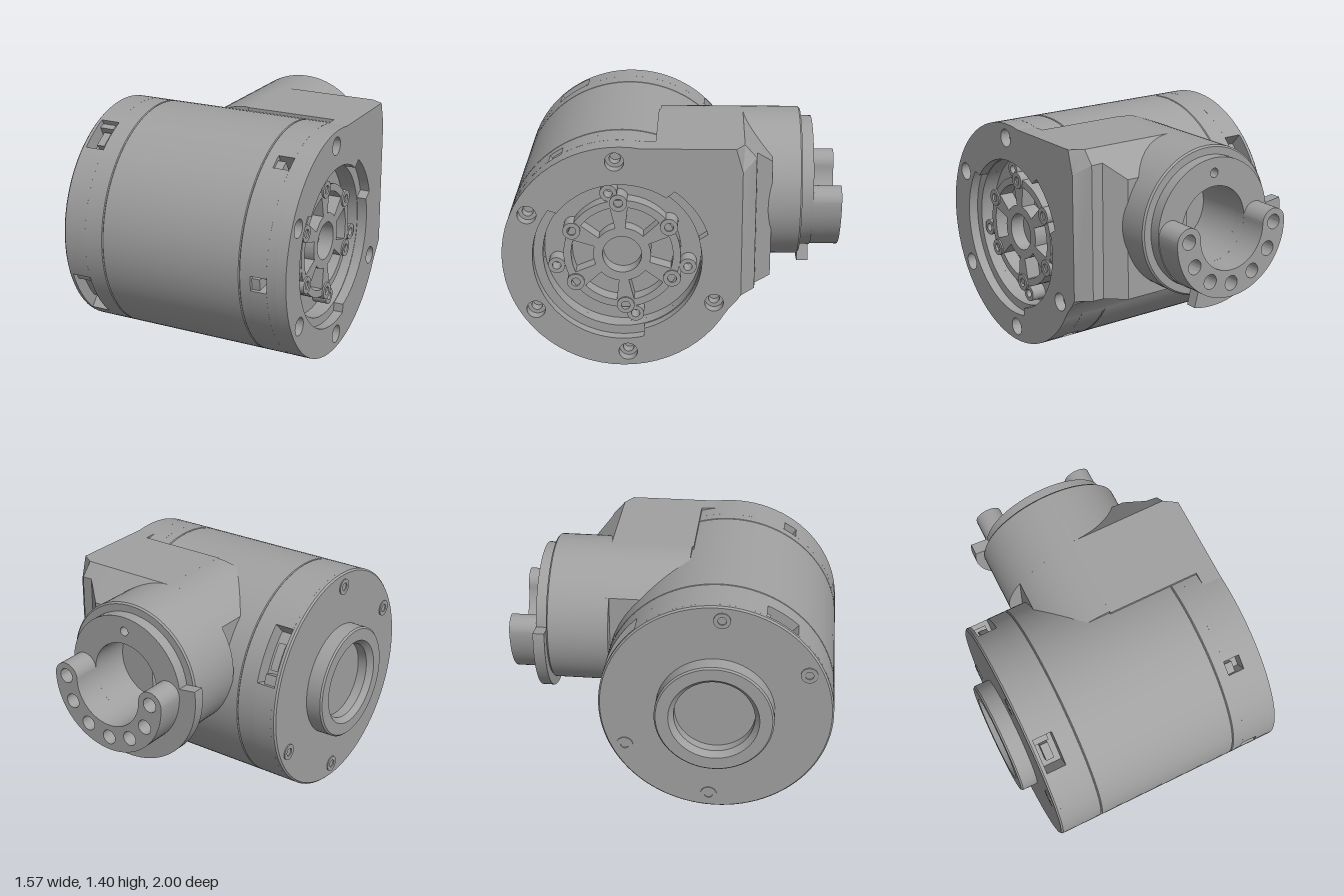
import * as THREE from 'three';
import { toCreasedNormals } from 'three/addons/utils/BufferGeometryUtils.js';

const grey = new THREE.MeshStandardMaterial({ color: 0xa0a0a0 });
grey.name = 'machined grey';
const rad = THREE.MathUtils.degToRad;

function add(parent, name, geometry, crease = 0.5) {
  const mesh = new THREE.Mesh(toCreasedNormals(geometry, crease), grey);
  mesh.name = name;
  parent.add(mesh);
  return mesh;
}

// Profile of [radius, height] pairs turned about the vertical axis
const turned = (profile) =>
  new THREE.LatheGeometry(profile.map(([r, h]) => new THREE.Vector2(r, h)), 96);

const extrude = (shape, from, to) =>
  new THREE.ExtrudeGeometry(shape, { depth: to - from, bevelEnabled: false, curveSegments: 32 })
    .translate(0, 0, from);

// Extrusion running along x; the shape's horizontal axis points to the back
const extrudeX = (shape, from, to) => extrude(shape, from, to).rotateY(Math.PI / 2);

const polar = (r, deg) => [r * Math.cos(rad(deg)), r * Math.sin(rad(deg))];

function disc(r, holes = []) {
  const shape = new THREE.Shape().absarc(0, 0, r, 0, Math.PI * 2, false);
  shape.holes.push(...holes);
  return shape;
}
const hole = (r, [x, y] = [0, 0]) => new THREE.Path().absarc(x, y, r, 0, Math.PI * 2, true);

function sector(r0, r1, a0, a1) {
  const shape = new THREE.Shape();
  shape.absarc(0, 0, r1, rad(a0), rad(a1), false);
  shape.absarc(0, 0, r0, rad(a1), rad(a0), true);
  shape.closePath();
  return shape;
}

// Band of solid sectors left between the angular gaps
function slottedBand(parent, name, x0, x1, gaps) {
  gaps.forEach(([, end], i) => {
    const next = i + 1 < gaps.length ? gaps[i + 1][0] : gaps[0][0] + 360;
    add(parent, name, extrudeX(sector(0.59, 0.7, end, next), x0, x1));
  });
}

// Solid through cross-sections along x, each a loop of [z, y]
function loft(sections) {
  const n = sections[0].loop.length;
  const pos = sections.flatMap(({ x, loop }) => loop.flatMap(([z, y]) => [x, y, z]));
  const index = [];
  for (let s = 0; s < sections.length - 1; s++) {
    for (let k = 0; k < n; k++) {
      const a = s * n + k, b = s * n + (k + 1) % n;
      index.push(a, b, a + n, b, b + n, a + n);
    }
  }
  [0, sections.length - 1].forEach((s) => {
    const flat = sections[s].loop.map(([z, y]) => new THREE.Vector2(-z, y));
    THREE.ShapeUtils.triangulateShape(flat, []).forEach(([a, b, c]) => {
      const o = s * n;
      index.push(...(s ? [o + a, o + b, o + c] : [o + a, o + c, o + b]));
    });
  });
  const g = new THREE.BufferGeometry();
  g.setAttribute('position', new THREE.Float32BufferAttribute(pos, 3));
  g.setIndex(index);
  return g;
}

function buildDrum() {
  const drum = new THREE.Group();
  drum.name = 'mainDrum';
  drum.position.set(0, 0.7, 0.3);

  // Housing with rear boss, bore, seam grooves and sunken port bands
  add(drum, 'housing', turned([
    [0, -0.69], [0.24, -0.69], [0.24, -0.75], [0.27, -0.785], [0.345, -0.785], [0.355, -0.775],
    [0.355, -0.68], [0.69, -0.68], [0.7, -0.67], [0.7, -0.65], [0.6, -0.65], [0.6, -0.53],
    [0.7, -0.53], [0.7, -0.415], [0.695, -0.41], [0.7, -0.405],
    [0.7, 0.485], [0.695, 0.49], [0.7, 0.495], [0.7, 0.56], [0.6, 0.56], [0.6, 0.66],
    [0.465, 0.66], [0.465, 0.62], [0, 0.62],
  ]).rotateZ(-Math.PI / 2));

  const ports = [[17, 47], [114, 132], [199, 228]];
  slottedBand(drum, 'portBand', -0.65, -0.53, ports);
  slottedBand(drum, 'slotBand', 0.56, 0.66, [123, 183, 243, 303].map((a) => [a - 3.7, a + 3.7]));

  // Connector blocks sunk in the ports
  ports.forEach(([a0, a1]) => {
    const w = (a1 - a0) / 4;
    add(drum, 'connector', extrudeX(sector(0.59, 0.65, a0 + w, a1 - w), -0.62, -0.57));
    add(drum, 'connectorStep', extrudeX(sector(0.59, 0.67, a0, a0 + w * 0.7), -0.65, -0.56));
  });
  [123, 183, 243, 303].forEach((a) =>
    add(drum, 'slotLatch', extrudeX(sector(0.59, 0.68, a - 2, a + 3.7), 0.56, 0.61)));

  // Output end cap: counterbored screws and a lobed recess
  const screws = [93, 153, 213, 273, 333].map((a) => polar(0.61, a));
  const lobed = [];
  for (let a = 360; a > 0; a -= 2) {
    const r = a >= 17 && a <= 55 ? 0.53 : a >= 144 && a <= 284 ? 0.52 : 0.47;
    lobed.push(new THREE.Vector2(...polar(r, a)));
  }
  add(drum, 'endCapBase', extrudeX(disc(0.7, [hole(0.465), ...screws.map((p) => hole(0.032, p))]), 0.66, 0.72));
  add(drum, 'endCapFace', extrudeX(disc(0.7, [new THREE.Path(lobed), ...screws.map((p) => hole(0.055, p))]), 0.72, 0.78));

  // Output hub with a centre bore, six windows and screw bosses
  const windows = [3, 63, 123, 183, 243, 303].map((a) =>
    new THREE.Path(sector(0.17, 0.3, a - 20, a + 20).getPoints(8).reverse()));
  add(drum, 'outputHub', extrudeX(disc(0.345, [hole(0.115), ...windows]), 0.62, 0.71));
  const boss = (r, size, a, top) => {
    const g = extrudeX(disc(size, [hole(size * 0.5)]), 0.62, top);
    const [u, y] = polar(r, a);
    add(drum, 'hubBoss', g.translate(0, y, -u));
  };
  [33, 93, 153, 213, 273, 333].forEach((a) => boss(0.33, 0.052, a, 0.72));
  [12, 102, 192, 282].forEach((a) => boss(0.395, 0.05, a - 1 + (a === 12 ? 180 : 0), 0.71));
  boss(0.395, 0.05, 349, 0.71);

  // Screw heads on the rear face
  [93, 153, 273, 333].forEach((a) => {
    const [u, y] = polar(0.61, a);
    add(drum, 'rearScrew', extrudeX(disc(0.05, [hole(0.025)]), -0.687, -0.67).translate(0, y, -u));
  });
  return drum;
}

function buildBracket() {
  // Bracket joining the drum to the neck: [x, back z, chamfer y, chamfer z, front z]
  const sections = [
    [0.09, -0.58, 1.22, -0.41, 0.1], [0.52, -0.58, 1.22, -0.41, 0.1],
    [0.63, -0.485, 1.315, -0.41, 0.1], [0.66, -0.483, 1.313, -0.41, 0.1],
    [0.661, -0.483, 1.313, -0.41, 0.2], [0.7, -0.48, 1.31, -0.41, 0.2],
    [0.78, -0.4, 1.25, -0.36, 0.2],
  ].map(([x, back, yc, zc, front]) => ({
    x,
    loop: [
      [-0.28, 0.31], [-0.33, 0.385], [-0.38, 0.445], [-0.43, 0.475], [-0.48, 0.485], [back, 0.486],
      [back, yc], [zc, 1.39], [front, 1.39], [0.1, 1.28], [-0.26, 1.02], [-0.32, 0.9], [-0.32, 0.42],
    ].map(([z, y]) => [Math.max(z, back), y]),
  }));
  return loft(sections);
}

function buildNeck() {
  const neck = new THREE.Group();
  neck.name = 'neck';
  neck.position.set(0.09, 0.935, 0);

  add(neck, 'neckTube', turned([
    [0, -0.45], [0.23, -0.45], [0.23, -0.76], [0.445, -0.76], [0.455, -0.75], [0.455, -0.38], [0, -0.38],
  ]).rotateX(Math.PI / 2));

  // Neck root, cut flat on its right side and buried in the drum
  const cut = Math.acos(-0.37 / 0.455);
  const root = new THREE.Shape().absarc(0, 0, 0.455, -cut, cut, false);
  root.closePath();
  add(neck, 'neckRoot', extrude(root, -0.4, 0.09));

  // End flange with a pin hole and a partial outer collar
  add(neck, 'flange', extrude(disc(0.4, [hole(0.23), hole(0.028, [0, 0.31])]), -0.83, -0.755));
  add(neck, 'collar', extrude(sector(0.38, 0.51, 172, 285), -0.83, -0.76));

  // Half-ring clamp with rounded tips and seven holes
  const clamp = new THREE.Shape();
  clamp.absarc(0, 0, 0.395, Math.PI, Math.PI * 2, false);
  clamp.absarc(0.3125, 0, 0.0825, 0, Math.PI, false);
  clamp.absarc(0, 0, 0.23, Math.PI * 2, Math.PI, true);
  clamp.absarc(-0.3125, 0, 0.0825, 0, Math.PI, false);
  for (let a = 180; a <= 360; a += 30) clamp.holes.push(hole(0.045, polar(0.312, a)));
  add(neck, 'halfRingClamp', extrude(clamp, -1, -0.83));
  return neck;
}

export function createModel() {
  const model = new THREE.Group();
  model.name = 'actuatorJoint';
  model.add(buildDrum(), buildNeck());
  add(model, 'bracket', buildBracket(), 0.4);
  return model;
}
